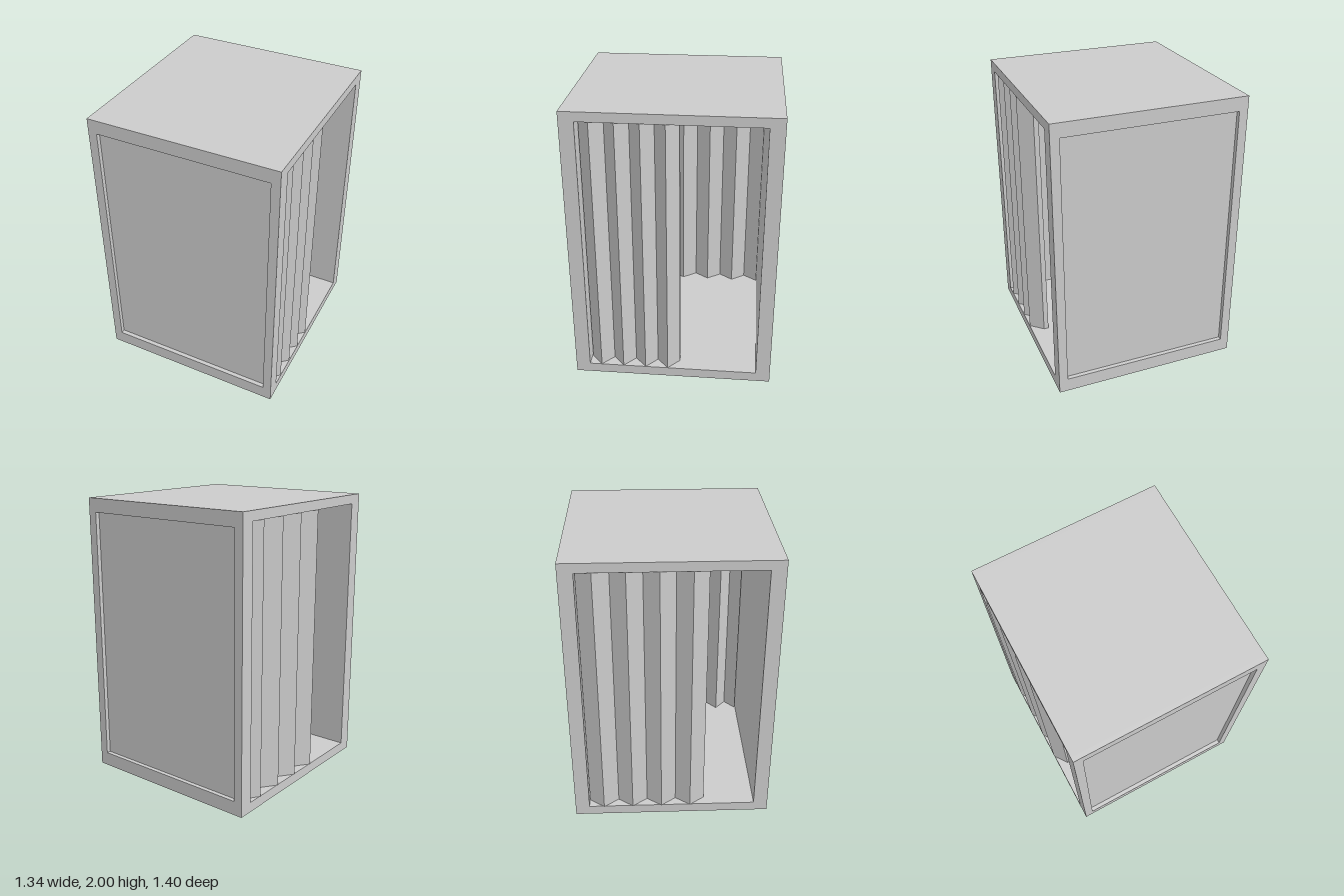
import * as THREE from 'three';

const W = 1.33, H = 2, D = 1.4, RECESS = 0.03;
const FLOOR = 0.07, CEILING = 1.935;
const material = new THREE.MeshStandardMaterial({ color: 0xcccccc, flatShading: true });

function part(name, geometry) {
  const mesh = new THREE.Mesh(geometry, material);
  mesh.name = name;
  return mesh;
}

const rect = (x0, y0, x1, y1) => [[x0, y0], [x1, y0], [x1, y1], [x0, y1]].map(p => new THREE.Vector2(...p));

// Rectangular plate with a rectangular opening, extruded along z
function holedPlate(outer, inner, depth) {
  const shape = new THREE.Shape(rect(...outer));
  shape.holes.push(new THREE.Path(rect(...inner).reverse()));
  return new THREE.ExtrudeGeometry(shape, { depth, bevelEnabled: false });
}

// Zigzag folding door; starts in a valley at the jamb and runs away from it
function foldingDoor(name, { peak, start, firstPeak, step, fold, thickness }) {
  const outer = [new THREE.Vector2(peak - fold, start)];
  for (let i = 0; i < 8; i++) {
    outer.push(new THREE.Vector2(i % 2 ? peak - fold : peak, firstPeak - i * step));
  }
  const inner = outer.map(p => new THREE.Vector2(p.x - thickness, p.y)).reverse();
  // Plan is drawn as (x, -z), then stood upright
  const plan = [...outer, ...inner].map(p => new THREE.Vector2(p.x, -p.y));
  const geometry = new THREE.ExtrudeGeometry(new THREE.Shape(plan), { depth: CEILING - FLOOR, bevelEnabled: false });
  geometry.rotateX(-Math.PI / 2).translate(0, FLOOR, 0);
  return part(name, geometry);
}

export function createModel() {
  const model = new THREE.Group();
  model.name = 'cabin';

  // Hollow body, open through both sides
  const zBody = D / 2 - RECESS;
  const body = holedPlate([-zBody, 0, zBody, H], [-0.6, FLOOR, 0.6, CEILING], W);
  body.translate(0, 0, -W / 2).rotateY(Math.PI / 2);
  model.add(part('body', body));

  // Raised frames around the recessed front and back panels
  for (const [name, angle] of [['frontFrame', 0], ['backFrame', Math.PI]]) {
    const frame = holedPlate([-W / 2, 0, W / 2, H], [-0.603, 0.1, 0.603, 1.903], RECESS);
    frame.translate(0, 0, zBody).rotateY(angle);
    model.add(part(name, frame));
  }

  // Half-drawn folding doors, one bunched to the front, the other to the back
  model.add(foldingDoor('leftFoldingDoor', {
    peak: 0.664, start: 0.595, firstPeak: 0.513, step: 0.08, fold: 0.09, thickness: 0.035,
  }));
  const rightDoor = foldingDoor('rightFoldingDoor', {
    peak: 0.67, start: 0.598, firstPeak: 0.492, step: 0.104, fold: 0.075, thickness: 0.035,
  });
  rightDoor.rotation.y = Math.PI;
  model.add(rightDoor);

  return model;
}
